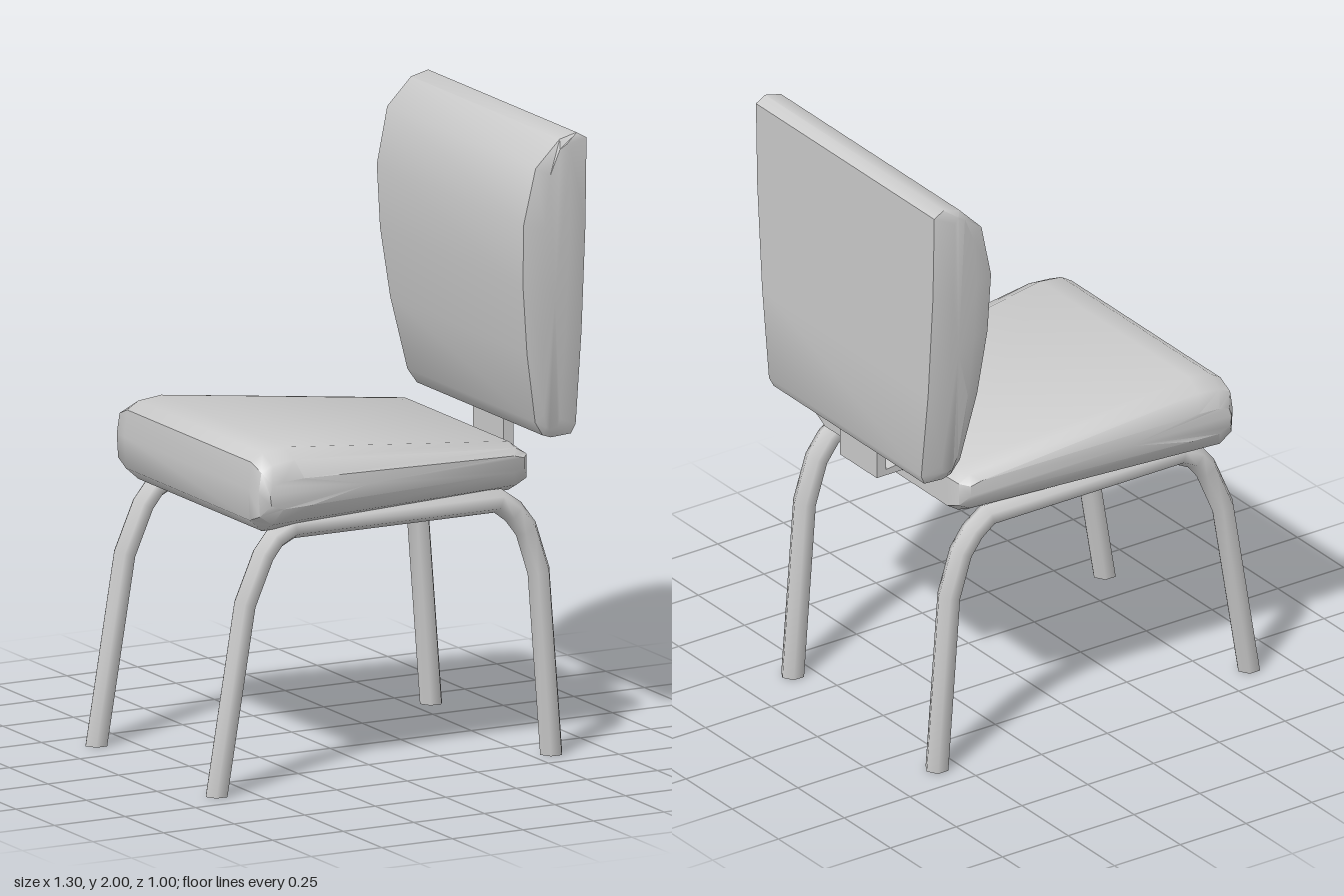
import * as THREE from 'three';
import { toCreasedNormals } from 'three/addons/utils/BufferGeometryUtils.js';

const material = new THREE.MeshStandardMaterial({ color: 0xcccccc });

// Skin a list of equal-length rings and close both ends.
function loft(rings, crease) {
  const n = rings[0].length, pos = rings.flat(2), index = [];
  for (let i = 0; i < rings.length - 1; i++) {
    for (let j = 0; j < n; j++) {
      const k = (j + 1) % n, a = i * n + j, b = i * n + k;
      index.push(a, b, b + n, a, b + n, a + n);
    }
  }
  [0, rings.length - 1].forEach((r) => {
    const centre = [0, 1, 2].map((c) => rings[r].reduce((s, p) => s + p[c], 0) / n);
    const ci = pos.length / 3;
    pos.push(...centre);
    for (let j = 0; j < n; j++) {
      const a = r * n + j, b = r * n + (j + 1) % n;
      if (r === 0) index.push(ci, b, a);
      else index.push(ci, a, b);
    }
  });
  const g = new THREE.BufferGeometry();
  g.setAttribute('position', new THREE.Float32BufferAttribute(pos, 3));
  g.setIndex(index);
  return toCreasedNormals(g, crease);
}

function addMesh(parent, name, geometry) {
  const mesh = new THREE.Mesh(geometry, material);
  mesh.name = name;
  parent.add(mesh);
  return mesh;
}

// Cushion: side profile spread across z; steps = [edge setback, x scale, y scale].
function cushion(profile, steps, halfWidth) {
  const xs = profile.map((p) => p[0]), ys = profile.map((p) => p[1]);
  const cx = (Math.min(...xs) + Math.max(...xs)) / 2;
  const cy = (Math.min(...ys) + Math.max(...ys)) / 2;
  const ring = ([setback, sx, sy], side) => profile.map(([x, y]) => [
    cx + (x - cx) * sx, cy + (y - cy) * sy, side * (halfWidth(x, y) - setback),
  ]);
  const right = steps.map((s) => ring(s, -1));
  const left = steps.map((s) => ring(s, 1)).reverse();
  return loft([...right, ...left], 0.85);
}

// Bent six-sided pipe in the xy plane, with level feet.
function pipe(path, radius, z) {
  const pts = path.map(([x, y]) => new THREE.Vector2(x, y));
  const rings = pts.map((p, i) => {
    const before = pts[Math.max(i - 1, 0)], after = pts[Math.min(i + 1, pts.length - 1)];
    const d1 = p.clone().sub(before).normalize(), d2 = after.clone().sub(p).normalize();
    const t = d1.add(d2).normalize();
    if (i === 0) t.set(0, 1);
    if (i === pts.length - 1) t.set(0, -1);
    return Array.from({ length: 6 }, (_, k) => {
      const a = k * Math.PI / 3, r = Math.cos(a) * radius;
      return [p.x - t.y * r, p.y + t.x * r, z + Math.sin(a) * radius];
    });
  });
  return loft(rings, 1.2);
}

export function createModel() {
  const chair = new THREE.Group();
  chair.name = 'chair';

  // Wedge-shaped seat, wider and thicker at its front (-x)
  const seatProfile = [
    [-0.46, 0.83], [-0.35, 0.835], [0.45, 0.845], [0.49, 0.87], [0.49, 0.97], [0.45, 1.0],
    [-0.38, 1.09], [-0.46, 1.08], [-0.5, 1.055], [-0.51, 0.97], [-0.505, 0.87],
  ];
  const seatHalf = (x) => 0.49 - 0.073 * Math.max(0, x + 0.4) / 0.89;
  addMesh(chair, 'seat', cushion(seatProfile,
    [[0, 0.94, 0.35], [0.03, 0.99, 0.76], [0.088, 1, 1]], seatHalf));

  // Backrest, bulging forward and narrowing toward the bottom
  const backProfile = [
    [0.53, 1.025], [0.56, 1.015], [0.63, 1.02], [0.645, 1.05], [0.645, 1.35], [0.645, 1.7],
    [0.645, 1.98], [0.61, 2.0], [0.55, 1.985], [0.465, 1.9], [0.425, 1.72],
    [0.43, 1.52], [0.455, 1.3], [0.5, 1.07],
  ];
  const backHalf = (x, y) => 0.5 - 0.075 * Math.pow((2 - y) / 0.98, 2);
  addMesh(chair, 'backrest', cushion(backProfile,
    [[0, 0.4, 0.94], [0.018, 1, 1]], backHalf));

  // L-shaped bracket joining seat and backrest
  const bracket = new THREE.Shape([
    [0.45, 0.9], [0.595, 0.9], [0.595, 1.06], [0.56, 1.06], [0.56, 0.92], [0.45, 0.93],
  ].map(([x, y]) => new THREE.Vector2(x, y)));
  addMesh(chair, 'backBracket',
    new THREE.ExtrudeGeometry(bracket, { depth: 0.2, bevelEnabled: false }).translate(0, 0, -0.1));

  // One bent pipe per side makes a front and a rear leg
  const legPath = [
    [-0.615, 0], [-0.515, 0.6], [-0.45, 0.75], [-0.41, 0.8], [-0.35, 0.83],
    [0.38, 0.83], [0.435, 0.79], [0.48, 0.73], [0.525, 0.59], [0.57, 0],
  ];
  for (const side of [1, -1]) {
    addMesh(chair, side > 0 ? 'leftLegs' : 'rightLegs', pipe(legPath, 0.039, side * 0.39));
  }
  return chair;
}
